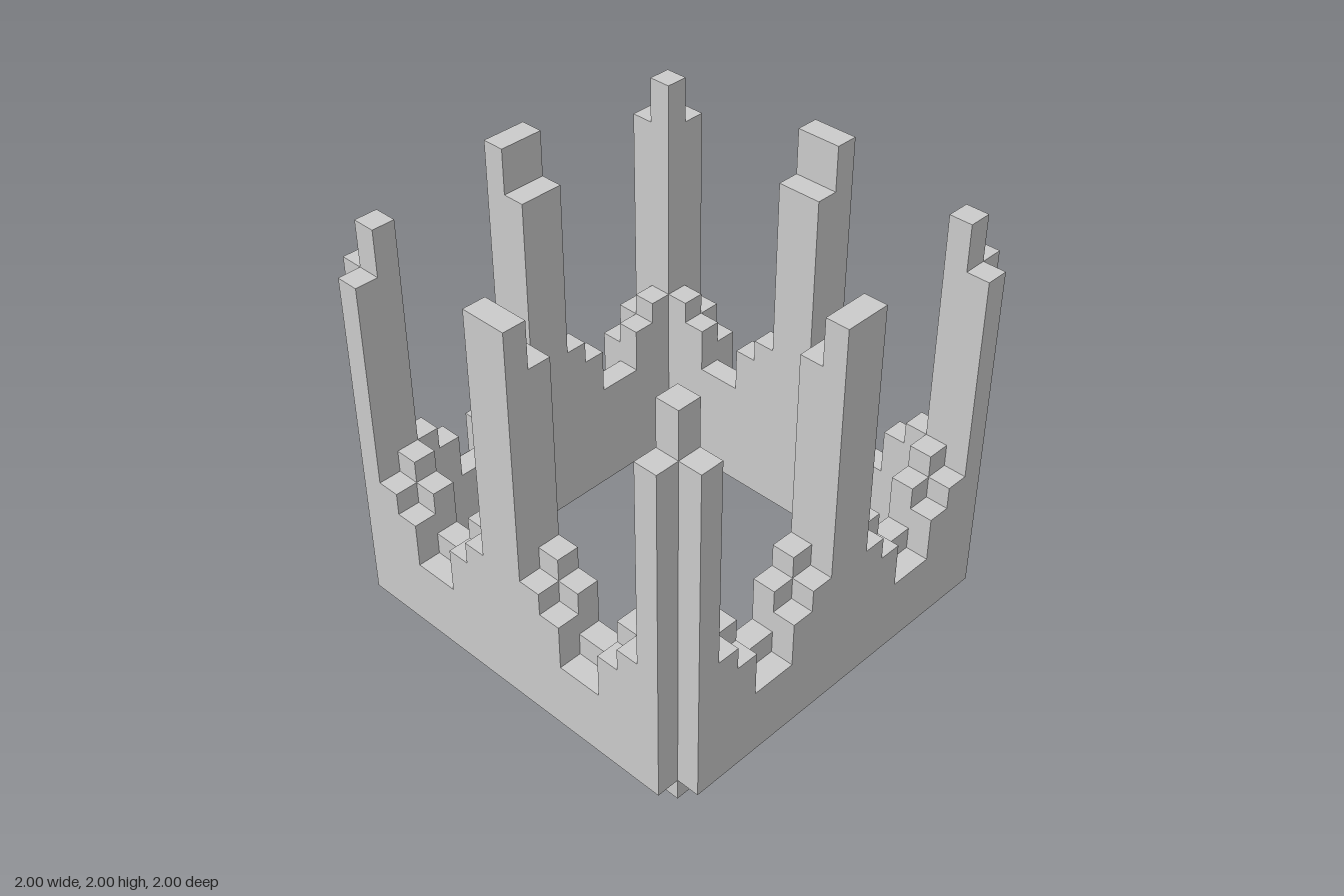
import * as THREE from 'three';

const U = 1 / 9; // one block; the model is 18 blocks on every side

// Solid panel one block deep whose top edge follows steps of [right end x, height]
function skylinePanel(name, startX, bottom, steps, z, material) {
  const shape = new THREE.Shape();
  shape.moveTo(startX * U, bottom * U);
  let x = startX;
  for (const [endX, height] of steps) {
    shape.lineTo(x * U, height * U);
    shape.lineTo(endX * U, height * U);
    x = endX;
  }
  shape.lineTo(x * U, bottom * U);
  const geometry = new THREE.ExtrudeGeometry(shape, { depth: U, bevelEnabled: false });
  const mesh = new THREE.Mesh(geometry, material);
  mesh.name = name;
  mesh.position.z = z * U;
  return mesh;
}

// Battlement between the corners: steps down, gap, steps up, centre pillar, mirrored.
// rise lifts the steps and gap.
function battlement(rise, pillar) {
  return [
    [-6, 7 + rise], [-5, 6 + rise], [-3, 4 + rise], [-2, 6 + rise], [-1, 7 + rise],
    [1, pillar],
    [2, 7 + rise], [3, 6 + rise], [5, 4 + rise], [6, 6 + rise], [7, 7 + rise],
  ];
}

export function createModel() {
  const model = new THREE.Group();
  model.name = 'battlementRing';
  const material = new THREE.MeshStandardMaterial({ color: 0xcccccc, flatShading: true });

  // Outer layer floats one block above the ground, with a lower post at each end
  const outerSteps = [[-7, 16], ...battlement(0, 18), [8, 16]];
  // Inner layer reaches the ground and carries one tall corner post per side
  const innerSteps = [...battlement(1, 16), [8, 18]];

  ['front', 'left', 'back', 'right'].forEach((side, i) => {
    const wall = new THREE.Group();
    wall.name = side + 'Wall';
    wall.add(
      skylinePanel('outerPanel', -8, 1, outerSteps, 8, material),
      skylinePanel('innerPanel', -7, 0, innerSteps, 7, material),
    );
    wall.rotation.y = (i * Math.PI) / 2;
    model.add(wall);
  });

  return model;
}
